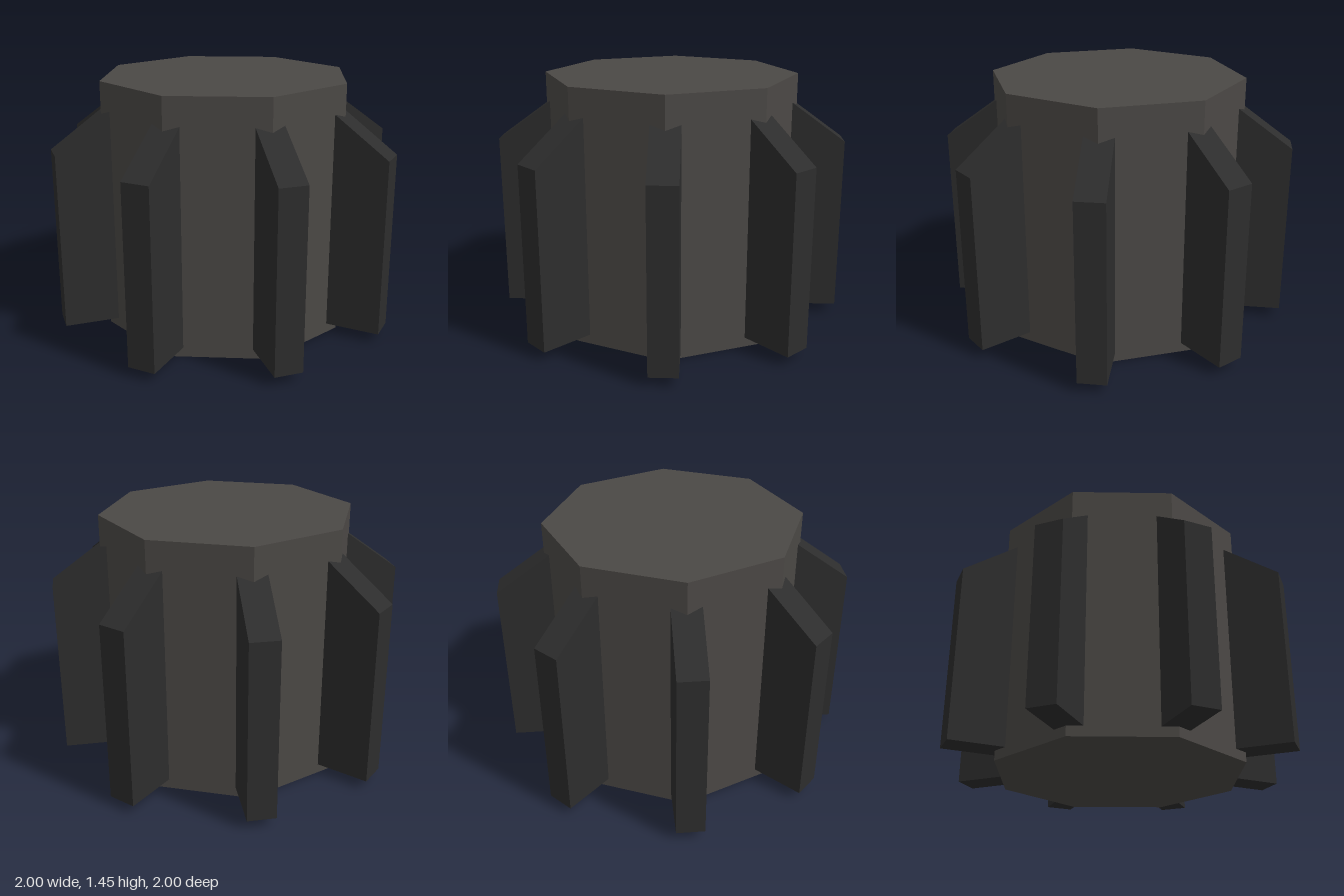
import * as THREE from 'three';

const FINS = 8;
const CORE_RADIUS = 0.725;
const CORE_HEIGHT = 1.45;
const FIN_WIDTH = 0.16;

export function createModel() {
  const model = new THREE.Group();
  model.name = 'finnedKnob';

  const coreGrey = new THREE.MeshStandardMaterial({ color: 0x4b4845, flatShading: true });
  coreGrey.name = 'warm grey';
  const finGrey = new THREE.MeshStandardMaterial({ color: 0x2d2d2d, flatShading: true });
  finGrey.name = 'charcoal';

  // Octagonal core with its corners on the axes
  const core = new THREE.Mesh(
    new THREE.CylinderGeometry(CORE_RADIUS, CORE_RADIUS, CORE_HEIGHT, FINS), coreGrey);
  core.name = 'core';
  core.position.y = CORE_HEIGHT / 2;
  model.add(core);

  // Fin profile: radius across, height up, with a sloped top running into the core
  const profile = new THREE.Shape([
    new THREE.Vector2(0.6, 0.055),
    new THREE.Vector2(1, 0.055),
    new THREE.Vector2(1, 1.07),
    new THREE.Vector2(0.6, 1.36),
  ]);
  const finGeometry = new THREE.ExtrudeGeometry(profile, { depth: FIN_WIDTH, bevelEnabled: false });
  finGeometry.translate(0, 0, -FIN_WIDTH / 2);

  // One fin on every corner of the core
  for (let i = 0; i < FINS; i++) {
    const fin = new THREE.Mesh(finGeometry, finGrey);
    fin.name = `fin${i + 1}`;
    fin.rotation.y = (i / FINS) * Math.PI * 2;
    model.add(fin);
  }
  return model;
}
